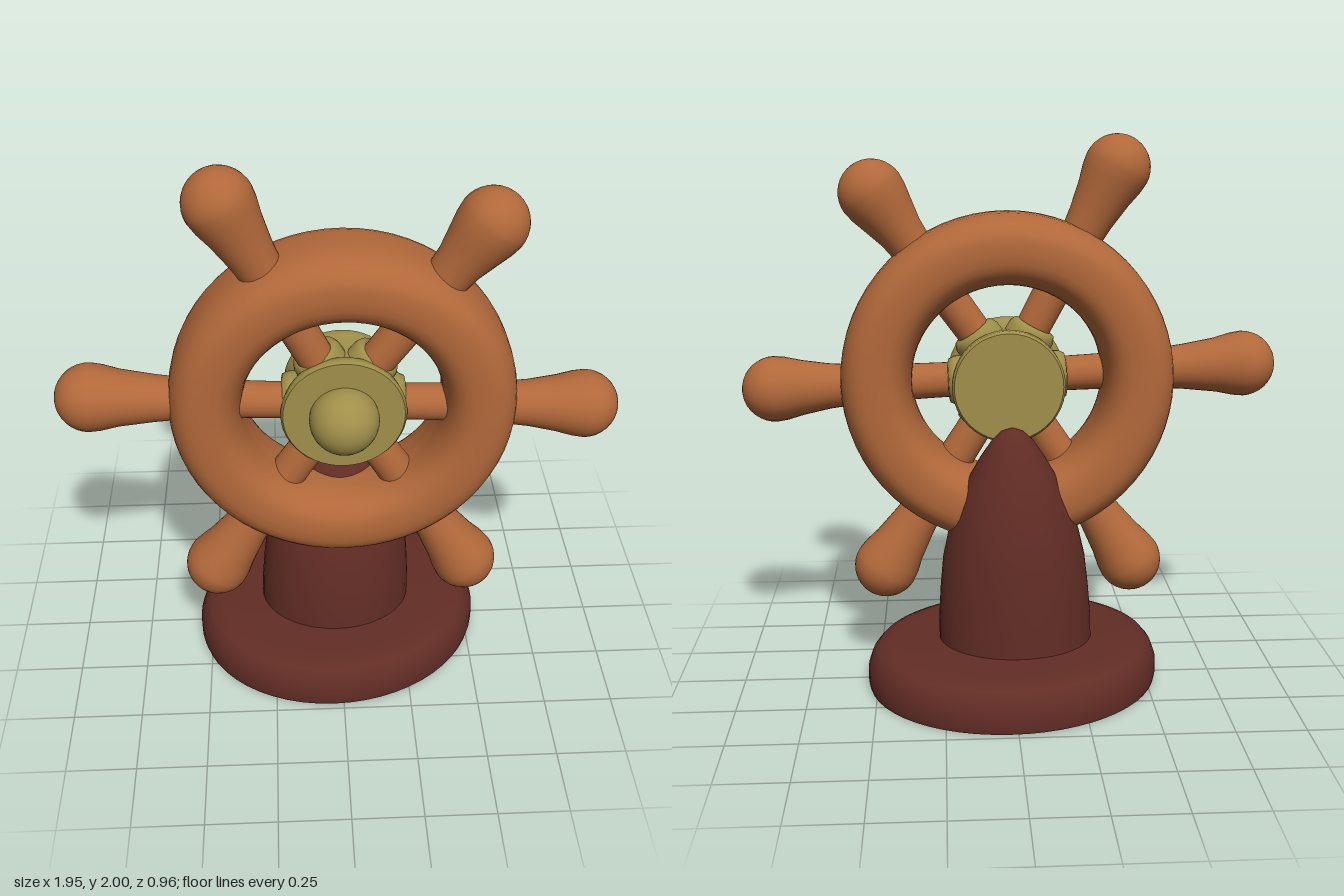
import * as THREE from 'three';

const wood = new THREE.MeshStandardMaterial({ color: 0xb1683a });
wood.name = 'orange wood';
const mahogany = new THREE.MeshStandardMaterial({ color: 0x622d25 });
mahogany.name = 'dark mahogany';
const brass = new THREE.MeshStandardMaterial({ color: 0xa08f4a });
brass.name = 'brass';

// Lathe from [radius, height] pairs listed bottom to top
function lathe(pairs, segments = 40) {
  return new THREE.LatheGeometry(pairs.map(([r, y]) => new THREE.Vector2(r, y)), segments);
}

function addMesh(parent, name, geometry, material) {
  const mesh = new THREE.Mesh(geometry, material);
  mesh.name = name;
  parent.add(mesh);
  return mesh;
}

// Move every vertex by a rule, then refresh the normals
function reshape(geometry, rule) {
  const p = geometry.attributes.position;
  const v = new THREE.Vector3();
  for (let i = 0; i < p.count; i++) {
    rule(v.fromBufferAttribute(p, i));
    p.setXYZ(i, v.x, v.y, v.z);
  }
  const seamless = geometry.attributes.normal.clone();
  geometry.computeVertexNormals();
  // keep the lathe seam smooth
  const n = geometry.attributes.normal;
  const rows = geometry.parameters.points.length;
  for (let j = 0; j < rows; j++) {
    const last = n.count - rows + j;
    v.set(n.getX(j) + n.getX(last), n.getY(j) + n.getY(last), n.getZ(j) + n.getZ(last));
    if (v.lengthSq() < 1e-6) v.fromBufferAttribute(seamless, j);
    v.normalize();
    n.setXYZ(j, v.x, v.y, v.z);
    n.setXYZ(last, v.x, v.y, v.z);
  }
  return geometry;
}

export function createModel() {
  const model = new THREE.Group();
  model.name = 'shipWheel';

  // Oval base with a rounded upper edge
  const base = lathe([
    [0, 0], [0.535, 0], [0.535, 0], [0.54, 0.02], [0.54, 0.07], [0.525, 0.115],
    [0.5, 0.145], [0.46, 0.16], [0.4, 0.162], [0, 0.162],
  ], 56);
  addMesh(model, 'base', reshape(base, (v) => {
    v.z *= 0.89;
    v.x -= 0.07 * v.z + 0.005;
  }), mahogany);

  // Tapering column, leaning back toward its tip
  const column = lathe([
    [0.285, 0.14], [0.283, 0.25], [0.275, 0.36], [0.262, 0.48], [0.24, 0.58],
    [0.205, 0.69], [0.165, 0.78], [0.115, 0.87], [0.075, 0.93], [0.04, 0.965], [0, 0.98],
  ], 40);
  addMesh(model, 'column', reshape(column, (v) => {
    const t = Math.max(0, (v.y - 0.14) / 0.84);
    v.z = v.z * 0.83 + 0.01 - 0.06 * t * t;
    v.x -= 0.015 * (1 - t);
  }), mahogany);

  // Everything on the wheel turns about its centre
  const wheel = new THREE.Group();
  wheel.name = 'wheel';
  wheel.position.set(0.01, 1.13, 0.095);
  model.add(wheel);

  // Rim: squarish oval section swept round the axle
  const section = [];
  const squash = (c) => Math.sign(c) * Math.pow(Math.abs(c), 2 / 2.6);
  for (let i = 0; i <= 32; i++) {
    const a = -Math.PI + (i / 32) * Math.PI * 2;
    section.push([0.476 + 0.129 * squash(Math.cos(a)), 0.185 * squash(Math.sin(a))]);
  }
  addMesh(wheel, 'rim', lathe(section, 64).rotateX(Math.PI / 2), wood);

  // Brass hub, doubled points keep its edges crisp
  const hub = lathe([
    [0, -0.13], [0.195, -0.13], [0.195, -0.13], [0.203, -0.12], [0.203, -0.09], [0.19, -0.05],
    [0.19, 0.05], [0.212, 0.075], [0.218, 0.105], [0.21, 0.117], [0.21, 0.117], [0, 0.117],
  ], 48).rotateX(Math.PI / 2);
  addMesh(wheel, 'hub', hub, brass).position.y = -0.008;
  addMesh(wheel, 'hubCap', new THREE.SphereGeometry(0.121, 32, 20), brass).position.set(0, -0.012, 0.134);

  // Six spokes: angle in degrees, distance from the axle to the knob centre
  const spokes = [
    [117.5, 0.848], [54.4, 0.82], [-2.5, 0.846], [-57.8, 0.858], [237, 0.857], [177.4, 0.87],
  ];
  const knob = 0.12;
  for (const [angle, reach] of spokes) {
    const spoke = new THREE.Group();
    spoke.name = 'spoke';
    spoke.rotation.z = THREE.MathUtils.degToRad(angle - 90);
    spoke.position.z = 0.03;
    wheel.add(spoke);

    const profile = [
      [0.062, 0.1], [0.065, 0.3], [0.068, 0.45], [0.075, 0.57], [0.083, 0.65],
      [0.1, reach - 0.1], [0.115, reach - 0.04],
    ];
    for (let i = 0; i <= 9; i++) {
      const a = (i / 9) * Math.PI / 2;
      profile.push([i === 9 ? 0 : knob * Math.cos(a), reach + knob * Math.sin(a)]);
    }
    addMesh(spoke, 'spokeHandle', lathe(profile, 28), wood);

    // Brass collar where the spoke enters the hub
    const collar = lathe([[0.092, 0.13], [0.09, 0.19], [0.08, 0.212], [0.06, 0.216]], 24);
    addMesh(spoke, 'spokeCollar', collar, brass).position.z = -0.02;
  }

  return model;
}
